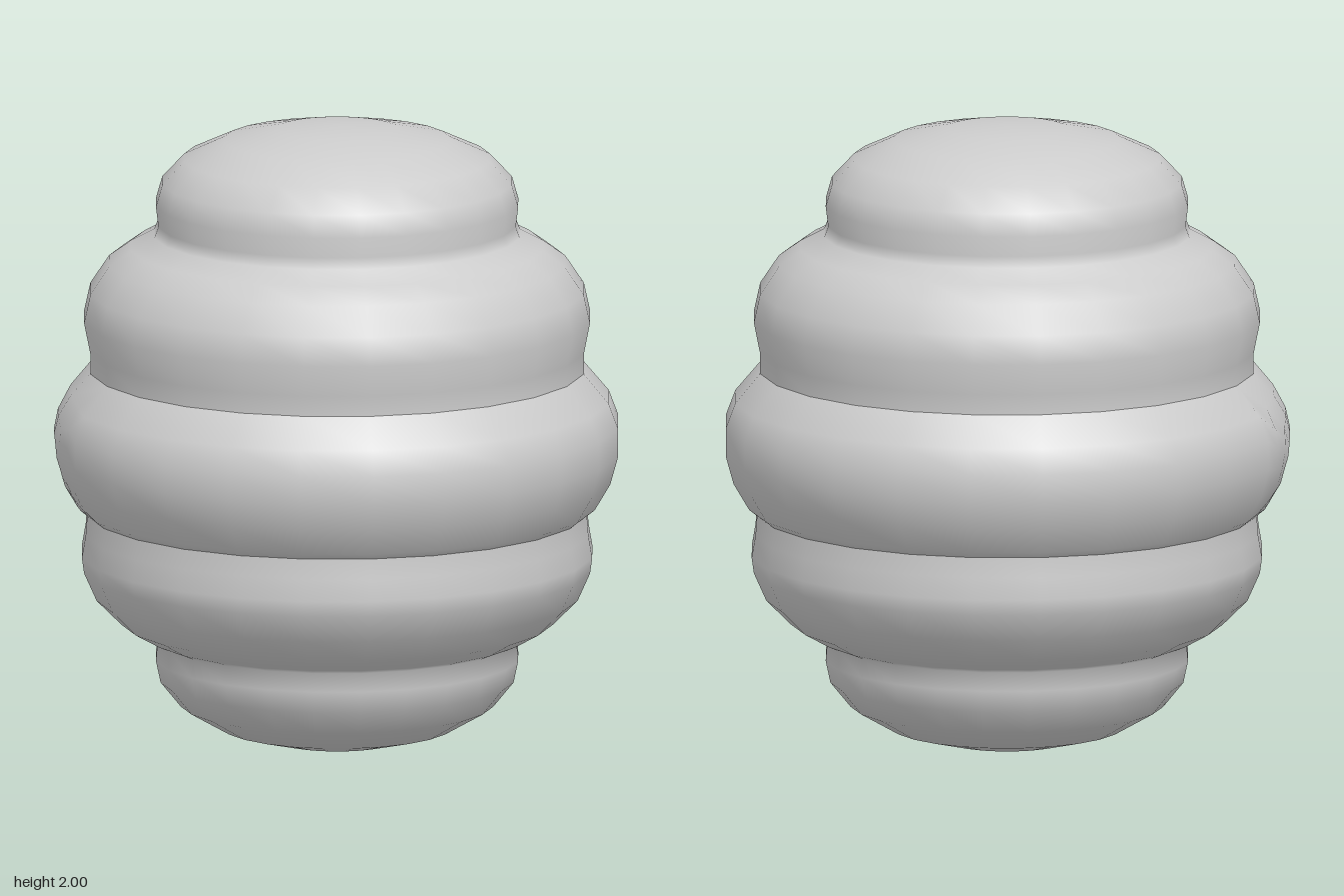
import * as THREE from 'three';
import { mergeGeometries, mergeVertices } from 'three/addons/utils/BufferGeometryUtils.js';

const SIDES = 24;
const STEP = (Math.PI * 2) / SIDES;

// Profiles as [radius, height], bottom to top
const LOWER = [[0, 0], [0.2, 0.012], [0.37, 0.055], [0.5, 0.13], [0.565, 0.21], [0.58, 0.28], [0.575, 0.34],
  [0.61, 0.355], [0.69, 0.4], [0.77, 0.48], [0.81, 0.57], [0.817, 0.62], [0.805, 0.69], [0.8, 0.755]];
const BELT = [[0.8, 0.755], [0.825, 0.775], [0.875, 0.86], [0.9, 0.95], [0.9, 1.04], [0.87, 1.12], [0.79, 1.215]];
const UPPER = [[0.79, 1.215], [0.79, 1.28], [0.81, 1.38], [0.79, 1.47], [0.73, 1.56], [0.66, 1.61], [0.585, 1.65],
  [0.572, 1.685], [0.58, 1.75], [0.56, 1.82], [0.49, 1.895], [0.36, 1.955], [0.19, 1.99], [0, 2]];

// Entrance hole, placed on the belt
const HOLE = { phi: THREE.MathUtils.degToRad(278.5), y: 0.9, radius: 0.12, depth: 0.14 };
const GAP_START = 17 * STEP, GAP_CELLS = 3;

const lathe = (profile, start = 0, cells = SIDES) => new THREE.LatheGeometry(
  profile.map(([r, y]) => new THREE.Vector2(r, y)), cells, start, cells * STEP);

// Weld the pieces and give them shared smooth normals
function weld(pieces) {
  for (const g of pieces) {
    g.deleteAttribute('normal');
    g.deleteAttribute('uv');
  }
  const g = mergeVertices(mergeGeometries(pieces), 1e-4);
  g.computeVertexNormals();
  return g;
}

function beltRadius(y) {
  for (let i = 1; i < BELT.length; i++) {
    const [r0, y0] = BELT[i - 1], [r1, y1] = BELT[i];
    if (y <= y1) return r0 + ((r1 - r0) * (y - y0)) / (y1 - y0);
  }
  return BELT[BELT.length - 1][0];
}

// Skin a series of closed loops of [angle, height, inset]
function skin(loops) {
  const pos = [], index = [], n = loops[0].length;
  for (const loop of loops) for (const [phi, y, inset] of loop) {
    const r = beltRadius(y) - inset;
    pos.push(r * Math.sin(phi), y, r * Math.cos(phi));
  }
  for (let k = 0; k < loops.length - 1; k++) for (let i = 0; i < n; i++) {
    const a = k * n + i, b = k * n + (i + 1) % n;
    index.push(a, b, b + n, a, b + n, a + n);
  }
  const g = new THREE.BufferGeometry();
  g.setAttribute('position', new THREE.Float32BufferAttribute(pos, 3));
  g.setIndex(index);
  g.computeVertexNormals();
  return g;
}

// Edge of the gap in the belt, counter-clockwise from outside
function gapLoop() {
  const loop = [], top = BELT.length - 1, end = GAP_START + GAP_CELLS * STEP;
  for (let i = 0; i < GAP_CELLS; i++) loop.push([GAP_START + i * STEP, BELT[0][1], 0]);
  for (let j = 0; j < top; j++) loop.push([end, BELT[j][1], 0]);
  for (let i = 0; i < GAP_CELLS; i++) loop.push([end - i * STEP, BELT[top][1], 0]);
  for (let j = top; j > 0; j--) loop.push([GAP_START, BELT[j][1], 0]);
  return loop;
}

export function createModel() {
  const model = new THREE.Group();
  model.name = 'beehive';
  const material = new THREE.MeshStandardMaterial({ color: 0xcccccc, side: THREE.DoubleSide });
  const add = (name, geometry) => {
    const mesh = new THREE.Mesh(geometry, material);
    mesh.name = name;
    model.add(mesh);
  };

  // Bottom dome and lower ring, upper ring and top dome
  add('lowerRings', weld([lathe(LOWER)]));
  add('upperRings', weld([lathe(UPPER)]));

  // Widest ring, with a patch that narrows to the round entrance
  const outer = gapLoop();
  const rim = outer.map(([phi, y]) => {
    const a = Math.atan2(y - HOLE.y, (phi - HOLE.phi) * 0.88);
    return [HOLE.phi + (Math.cos(a) * HOLE.radius) / 0.88, HOLE.y + Math.sin(a) * HOLE.radius, 0];
  });
  const between = (t) => outer.map((p, i) => p.map((v, k) => v + (rim[i][k] - v) * t));
  const patch = skin([outer, between(0.35), between(0.7), rim]);
  add('middleRing', weld([lathe(BELT, GAP_START + GAP_CELLS * STEP, SIDES - GAP_CELLS), patch]));

  // Entrance tunnel and its end wall
  const inner = rim.map(([phi, y]) => [phi, y, HOLE.depth]);
  const centre = rim.map(() => [HOLE.phi, HOLE.y, HOLE.depth]);
  add('entranceTunnel', skin([rim, inner]));
  add('entranceBack', skin([inner, centre]));

  return model;
}
